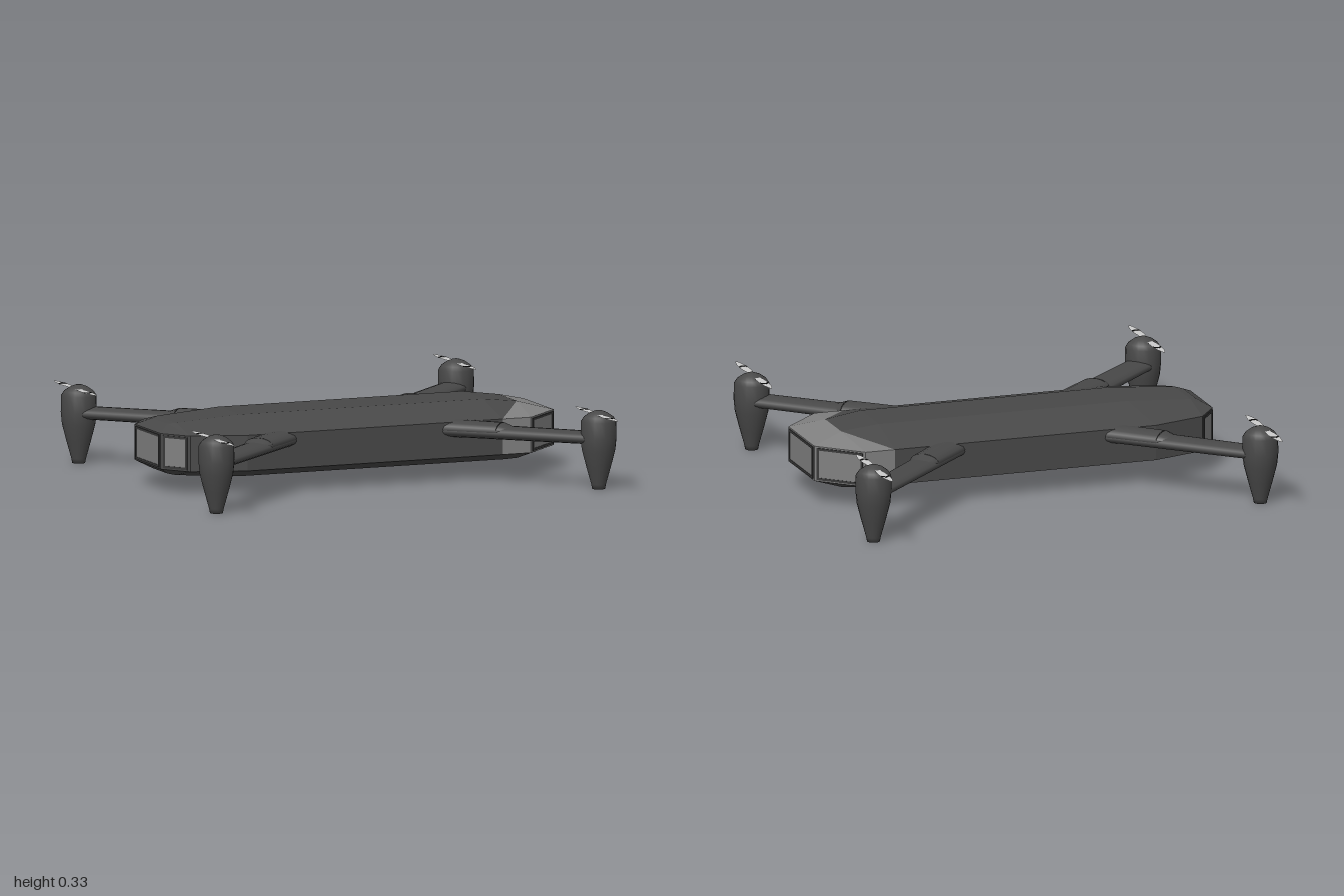
import * as THREE from 'three';

const mat = (color, side = THREE.FrontSide, flatShading = false) =>
  new THREE.MeshStandardMaterial({ color, side, flatShading });
const dark = mat(0x484848);
const darkFlat = mat(0x484848, THREE.FrontSide, true);
const glass = mat(0x808080, THREE.FrontSide, true);
const frameMat = mat(0x383838, THREE.FrontSide, true);
const bladeMat = mat(0xcccccc, THREE.DoubleSide);
const bandMat = mat(0x111111, THREE.DoubleSide);
const CZ = 0.02; // body centre line in z

function add(parent, geometry, material, name) {
  const mesh = new THREE.Mesh(geometry, material);
  mesh.name = name;
  parent.add(mesh);
  return mesh;
}

// One half of an outline [x, y, z], nose to tail, closed with its mirror image
function ring(half) {
  const a = half.map(([x, y, z]) => [x, y, CZ + z]);
  const b = half.map(([x, y, z]) => [x, y, CZ - z]).reverse();
  return [...a, ...b];
}

function quads(list) {
  const pos = [];
  for (const [a, b, c, d] of list) pos.push(...a, ...b, ...c, ...a, ...c, ...d);
  const g = new THREE.BufferGeometry();
  g.setAttribute('position', new THREE.Float32BufferAttribute(pos, 3));
  g.computeVertexNormals();
  return g;
}

// Rectangular frame with a pane, set on the facet from a to b
function addWindow(parent, a, b, name) {
  const dx = b[0] - a[0], dz = b[2] - a[2];
  const w = Math.hypot(dx, dz) - 0.025, h = 0.138, t = 0.01;
  const rect = (C, w, h) => new C([[-1, -1], [1, -1], [1, 1], [-1, 1]]
    .map(([x, y]) => new THREE.Vector2(x * w / 2, y * h / 2)));
  const shape = rect(THREE.Shape, w, h);
  shape.holes.push(rect(THREE.Path, w - 2 * t, h - 2 * t));
  const g = new THREE.Group();
  g.name = name;
  add(g, new THREE.ExtrudeGeometry(shape, { depth: 0.004, bevelEnabled: false }), frameMat, 'windowFrame');
  add(g, new THREE.BoxGeometry(w - 2 * t, h - 2 * t, 0.004), glass, 'windowPane');
  g.position.set((a[0] + b[0]) / 2, 0.175, (a[2] + b[2]) / 2);
  g.rotation.y = Math.atan2(dz, -dx);
  parent.add(g);
}

function buildBody() {
  const body = new THREE.Group();
  body.name = 'body';
  const plan = [[0.9, 0.163], [0.73, 0.325], [0.6, 0.325], [0.6, 0.325], [-0.55, 0.325], [-0.78, 0.255], [-0.865, 0.14]];
  const level = y => ring(plan.map(([x, z]) => [x, y, z]));
  const lower = level(0.1), upper = level(0.25);
  const roof = ring([[0.76, 0.285, 0.1], [0.76, 0.285, 0.1], [0.76, 0.285, 0.1], [0.6, 0.305, 0.115],
    [-0.5, 0.305, 0.115], [-0.78, 0.285, 0.105], [-0.81, 0.28, 0.08]]);
  const belly = ring([[0.76, 0.047, 0.11], [0.76, 0.047, 0.11], [0.7, 0.045, 0.115], [0.6, 0.045, 0.115],
    [-0.5, 0.045, 0.115], [-0.78, 0.065, 0.105], [-0.81, 0.07, 0.08]]);
  const n = lower.length;
  const noseSegs = [0, 1, n - 3, n - 2, n - 1];
  const shell = [], nose = [];
  const skin = (lo, hi, i, out) => {
    const j = (i + 1) % n;
    out.push([lo[i], hi[i], hi[j], lo[j]]);
  };
  for (let i = 0; i < n; i++) {
    const out = noseSegs.includes(i) ? nose : shell;
    skin(belly, lower, i, shell);
    skin(lower, upper, i, out);
    skin(upper, roof, i, out);
  }
  // roof and belly as strips across the centre line
  for (let i = 0; i < n / 2 - 1; i++) {
    const m = n - 1 - i;
    shell.push([roof[i], roof[m], roof[m - 1], roof[i + 1]]);
    shell.push([belly[i], belly[i + 1], belly[m - 1], belly[m]]);
  }
  add(body, quads(shell), darkFlat, 'shell');
  add(body, quads(nose), glass, 'nose');
  const mid = n / 2 - 1;
  for (const i of [0, n - 2, n - 1]) addWindow(body, upper[i], upper[(i + 1) % n], 'noseWindow');
  for (const i of [mid - 1, mid, mid + 1]) addWindow(body, upper[i], upper[i + 1], 'tailWindow');
  return body;
}

// Flattened tube lying between two points
function flatTube(parent, from, to, r0, r1, squash, name) {
  const g = new THREE.CylinderGeometry(r1, r0, from.distanceTo(to), 16);
  g.rotateX(Math.PI / 2).scale(1, squash, 1);
  const mesh = add(parent, g, dark, name);
  mesh.position.copy(from).lerp(to, 0.5);
  mesh.lookAt(to);
}

// Pointed two-ended blade pair with a dark band on each side
function buildPropeller() {
  const prop = new THREE.Group();
  prop.name = 'propeller';
  const half = z => 0.018 * Math.pow(Math.max(0, 1 - Math.pow(Math.abs(z - 0.115) / 0.112, 2)), 0.8) + 0.001;
  for (const s of [-1, 1]) {
    const blade = new THREE.Shape();
    for (let i = 0; i <= 12; i++) blade.lineTo(half(0.225 * i / 12), s * 0.225 * i / 12);
    for (let i = 12; i >= 0; i--) blade.lineTo(-half(0.225 * i / 12), s * 0.225 * i / 12);
    add(prop, new THREE.ShapeGeometry(blade).rotateX(Math.PI / 2), bladeMat, 'blade');
    const band = new THREE.Shape([[-0.017, 0.128], [0, 0.142], [0.017, 0.128], [0.017, 0.14], [0, 0.154], [-0.017, 0.14]]
      .map(([x, z]) => new THREE.Vector2(x, s * z)));
    const mesh = add(prop, new THREE.ExtrudeGeometry(band, { depth: 0.003, bevelEnabled: false })
      .rotateX(Math.PI / 2), bandMat, 'bladeBand');
    mesh.position.y = 0.0015;
  }
  return prop;
}

export function createModel() {
  const model = new THREE.Group();
  model.name = 'quadcopter';
  model.add(buildBody());

  const motorProfile = [[0, 0], [0.027, 0], [0.031, 0.02], [0.052, 0.095], [0.07, 0.165], [0.075, 0.215],
    [0.074, 0.285], [0.062, 0.303], [0.038, 0.32], [0.015, 0.329], [0, 0.33]].map(p => new THREE.Vector2(...p));
  const motorGeometry = new THREE.LatheGeometry(motorProfile, 20);

  // motor x, z; where the arm meets the body x, z; propeller x, z
  const corners = [
    ['frontLeft', 0.862, 0.757, 0.43, 0.345, 0.85, 0.765],
    ['frontRight', -0.862, 0.752, -0.43, 0.345, -0.88, 0.757],
    ['backLeft', 0.858, -0.77, 0.385, -0.3, 0.855, -0.775],
    ['backRight', -0.862, -0.73, -0.42, -0.3, -0.88, -0.725],
  ];
  for (const [name, mx, mz, bx, bz, px, pz] of corners) {
    const unit = new THREE.Group();
    unit.name = name + 'Rotor';
    const at = (t, y) => new THREE.Vector3(bx + (mx - bx) * t, y, bz + (mz - bz) * t);
    flatTube(unit, at(-0.2, 0.213), at(1, 0.213), 0.07, 0.063, 0.42, 'arm');
    flatTube(unit, at(-0.2, 0.222), at(0.27, 0.222), 0.07, 0.066, 0.5, 'armHinge');
    flatTube(unit, at(0.27, 0.222), at(0.36, 0.215), 0.066, 0.045, 0.5, 'hingeTip');
    add(unit, motorGeometry, dark, 'motor').position.set(mx, 0, mz);
    const prop = buildPropeller();
    prop.position.set(px, 0.316, pz);
    unit.add(prop);
    model.add(unit);
  }
  return model;
}
